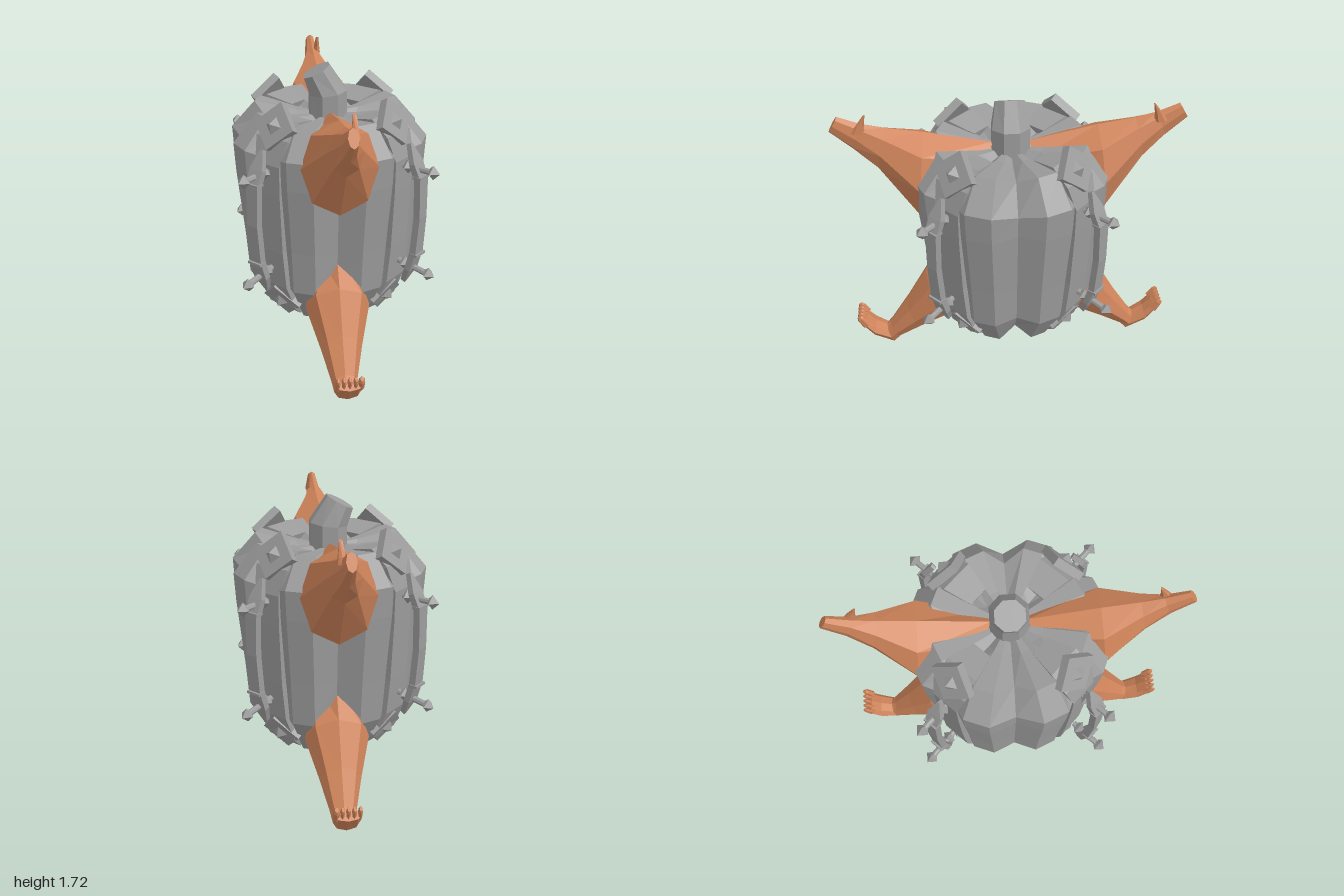
import * as THREE from 'three';

const V = (x, y, z) => new THREE.Vector3(x, y, z);

// Closed skin through rings of equal point count, capped at both ends
function loft(rings) {
  const tris = [];
  const n = rings[0].length;
  for (let i = 0; i < rings.length - 1; i++) {
    for (let j = 0; j < n; j++) {
      const k = (j + 1) % n, a = rings[i], b = rings[i + 1];
      tris.push([a[j], a[k], b[k]], [a[j], b[k], b[j]]);
    }
  }
  for (const [ring, start] of [[rings[0], true], [rings[rings.length - 1], false]]) {
    const c = ring.reduce((s, p) => s.add(p), V(0, 0, 0)).divideScalar(n);
    for (let j = 0; j < n; j++) {
      const k = (j + 1) % n;
      tris.push(start ? [c, ring[k], ring[j]] : [c, ring[j], ring[k]]);
    }
  }
  // Turn the skin outward if its signed volume is negative
  const volume = tris.reduce((s, [a, b, c]) => s + a.dot(b.clone().cross(c)), 0);
  const pts = tris.flatMap(([a, b, c]) => (volume < 0 ? [a, c, b] : [a, b, c]));
  const geo = new THREE.BufferGeometry().setFromPoints(pts);
  geo.computeVertexNormals();
  return geo;
}

// Limb sections: [top z, top y, bottom z, bottom y, half width]
const limb = (sections, sides = 8) => loft(sections.map(([tz, ty, bz, by, w]) =>
  Array.from({ length: sides }, (_, j) => {
    const a = (j / sides) * Math.PI * 2, c = Math.cos(a) / 2;
    return V(Math.sin(a) * w, (ty + by) / 2 + c * (ty - by), (tz + bz) / 2 + c * (tz - bz));
  })));

// Flat strap along z-y profile points: [z, y, half width, thickness]
const strap = (profile) => loft(profile.map(([z, y, w, t], i) => {
  const p = profile[Math.max(i - 1, 0)], q = profile[Math.min(i + 1, profile.length - 1)];
  const d = Math.hypot(q[0] - p[0], q[1] - p[1]);
  const nz = -(q[1] - p[1]) / d * t, ny = (q[0] - p[0]) / d * t;
  return [V(-w, y, z), V(w, y, z), V(w, y - ny, z - nz), V(-w, y - ny, z - nz)];
}));

export function createModel() {
  const model = new THREE.Group();
  const stone = new THREE.MeshStandardMaterial({ color: 0x9c9c9c, flatShading: true });
  stone.name = 'grey shell';
  const skin = new THREE.MeshStandardMaterial({ color: 0xcf845a, flatShading: true });
  skin.name = 'orange skin';

  function add(parent, name, geo, mat) {
    const mesh = new THREE.Mesh(geo, mat);
    mesh.name = name;
    parent.add(mesh);
    return mesh;
  }

  // Eight-lobed body: [ridge radius, ridge y, valley radius, valley y]
  const bodyProfile = [
    [0.1, 0.4, 0.1, 0.42], [0.24, 0.3, 0.2, 0.38], [0.37, 0.285, 0.32, 0.36],
    [0.5, 0.51, 0.43, 0.52], [0.52, 0.77, 0.45, 0.75], [0.56, 1.16, 0.485, 1.16],
    [0.57, 1.33, 0.49, 1.29], [0.43, 1.49, 0.36, 1.43], [0.19, 1.45, 0.16, 1.41],
  ];
  add(model, 'lobedBody', loft(bodyProfile.map(([rr, ry, vr, vy]) =>
    Array.from({ length: 24 }, (_, j) => {
      const a = (j * Math.PI) / 12, valley = j % 3 === 0;
      const r = valley ? vr : rr;
      return V(Math.sin(a) * r, valley ? vy : ry, Math.cos(a) * r);
    }))), stone);

  // Bent stem: [centre x, centre y, radius, tilt]
  add(model, 'stem', loft([[0, 1.38, 0.115, 0], [0, 1.565, 0.115, 0.12], [-0.067, 1.69, 0.088, 0.48]]
    .map(([cx, cy, r, tilt]) => Array.from({ length: 8 }, (_, j) => {
      const a = ((j + 0.5) / 8) * Math.PI * 2, u = Math.cos(a) * r;
      return V(cx + u * Math.cos(tilt), cy + u * Math.sin(tilt), Math.sin(a) * r);
    }))), stone);
  add(model, 'bottomPlug', new THREE.CylinderGeometry(0.1, 0.09, 0.16, 8), stone).position.y = 0.38;

  // Arms and legs, one pair at the front and one at the back
  for (const side of [1, -1]) {
    const pair = new THREE.Group();
    pair.name = side > 0 ? 'frontLimbs' : 'backLimbs';
    pair.rotation.y = side > 0 ? 0 : Math.PI;
    model.add(pair);

    add(pair, 'arm', limb([
      [0.1, 1.47, 0.38, 0.98, 0.13], [0.49, 1.555, 0.54, 1.03, 0.215], [0.7, 1.59, 0.75, 1.34, 0.095],
      [0.82, 1.62, 0.88, 1.47, 0.045], [0.945, 1.67, 0.998, 1.58, 0.028],
    ]), skin);
    const thumb = add(pair, 'thumb', limb([
      [0.8, 1.58, 0.88, 1.58, 0.025], [0.8, 1.63, 0.85, 1.62, 0.018], [0.79, 1.69, 0.805, 1.68, 0.01],
    ], 6), skin);
    thumb.position.x = 0.03 * side;

    add(pair, 'leg', limb([
      [0.4, 0.74, 0.15, 0.34, 0.13], [0.53, 0.57, 0.38, 0.265, 0.185], [0.66, 0.34, 0.57, 0.15, 0.12],
      [0.775, 0.16, 0.71, 0.06, 0.075], [0.8, 0.135, 0.755, 0.003, 0.065],
      [0.865, 0.175, 0.885, 0.08, 0.075], [0.92, 0.235, 0.965, 0.19, 0.075],
    ]), skin);
    for (let i = 0; i < 5; i++) {
      const big = i === 4 ? 0.018 : 0.012;
      const toe = add(pair, 'toe', limb([
        [0.9, 0.21, 0.945, 0.175, big], [0.935, 0.262, 0.975, 0.235, big], [0.95, 0.272, 0.975, 0.255, big * 0.6],
      ], 6), skin);
      toe.position.x = (i - 2) * 0.032 * side;
    }
  }

  // Four-pointed plate
  const star = new THREE.Shape();
  for (let i = 0; i < 8; i++) {
    const a = (i * Math.PI) / 4, r = i % 2 ? 0.095 : 0.135;
    if (i) star.lineTo(Math.sin(a) * r, Math.cos(a) * r);
    else star.moveTo(0, r);
  }
  const starGeo = new THREE.ExtrudeGeometry(star, { depth: 0.05, bevelEnabled: false });
  const studGeo = new THREE.ConeGeometry(0.05, 0.04, 4).rotateX(Math.PI / 2);
  const shaftGeo = new THREE.CylinderGeometry(0.018, 0.018, 0.2, 8).rotateX(Math.PI / 2);
  const spikeGeo = new THREE.OctahedronGeometry(0.042);

  // Straps, plates, handles and bolts in the four diagonal valleys
  for (let k = 0; k < 4; k++) {
    const rig = new THREE.Group();
    rig.name = 'strapAssembly';
    rig.rotation.y = Math.PI / 4 + (k * Math.PI) / 2;
    model.add(rig);

    add(rig, 'strap', strap([
      [0.22, 1.46, 0.06, 0.06], [0.38, 1.5, 0.1, 0.07], [0.49, 1.42, 0.11, 0.07], [0.535, 1.28, 0.085, 0.07],
      [0.53, 1.1, 0.08, 0.07], [0.515, 0.75, 0.08, 0.07], [0.5, 0.53, 0.09, 0.07],
      [0.43, 0.36, 0.1, 0.07], [0.35, 0.29, 0.07, 0.06],
    ]), stone);

    for (const [y, z, tilt] of [[1.46, 0.43, 0.5], [0.42, 0.4, -0.5]]) {
      const plate = new THREE.Group();
      plate.name = 'starPlate';
      plate.position.set(0, y, z);
      plate.rotation.x = -tilt;
      rig.add(plate);
      add(plate, 'plate', starGeo, stone);
      add(plate, 'plateStud', studGeo, stone).position.z = 0.07;
    }

    add(rig, 'handle', strap([
      [0.575, 1.38, 0.008, 0.03], [0.625, 1.28, 0.045, 0.035], [0.665, 1.19, 0.04, 0.04],
      [0.67, 0.96, 0.036, 0.04], [0.655, 0.74, 0.04, 0.04], [0.62, 0.62, 0.045, 0.035], [0.57, 0.52, 0.008, 0.03],
    ]), stone);
    for (const y of [1.2, 0.73]) {
      add(rig, 'handleCollar', new THREE.BoxGeometry(0.09, 0.015, 0.05), stone).position.set(0, y, 0.643);
    }

    for (const [y, tilt] of [[1.24, 0], [0.635, 0.15]]) {
      const bolt = new THREE.Group();
      bolt.name = 'bolt';
      bolt.position.set(0, y, 0.62);
      bolt.rotation.x = tilt;
      rig.add(bolt);
      add(bolt, 'boltShaft', shaftGeo, stone);
      add(bolt, 'outerSpike', spikeGeo, stone).position.z = 0.1;
      add(bolt, 'innerSpike', spikeGeo, stone).position.z = -0.06;
    }
  }
  return model;
}
